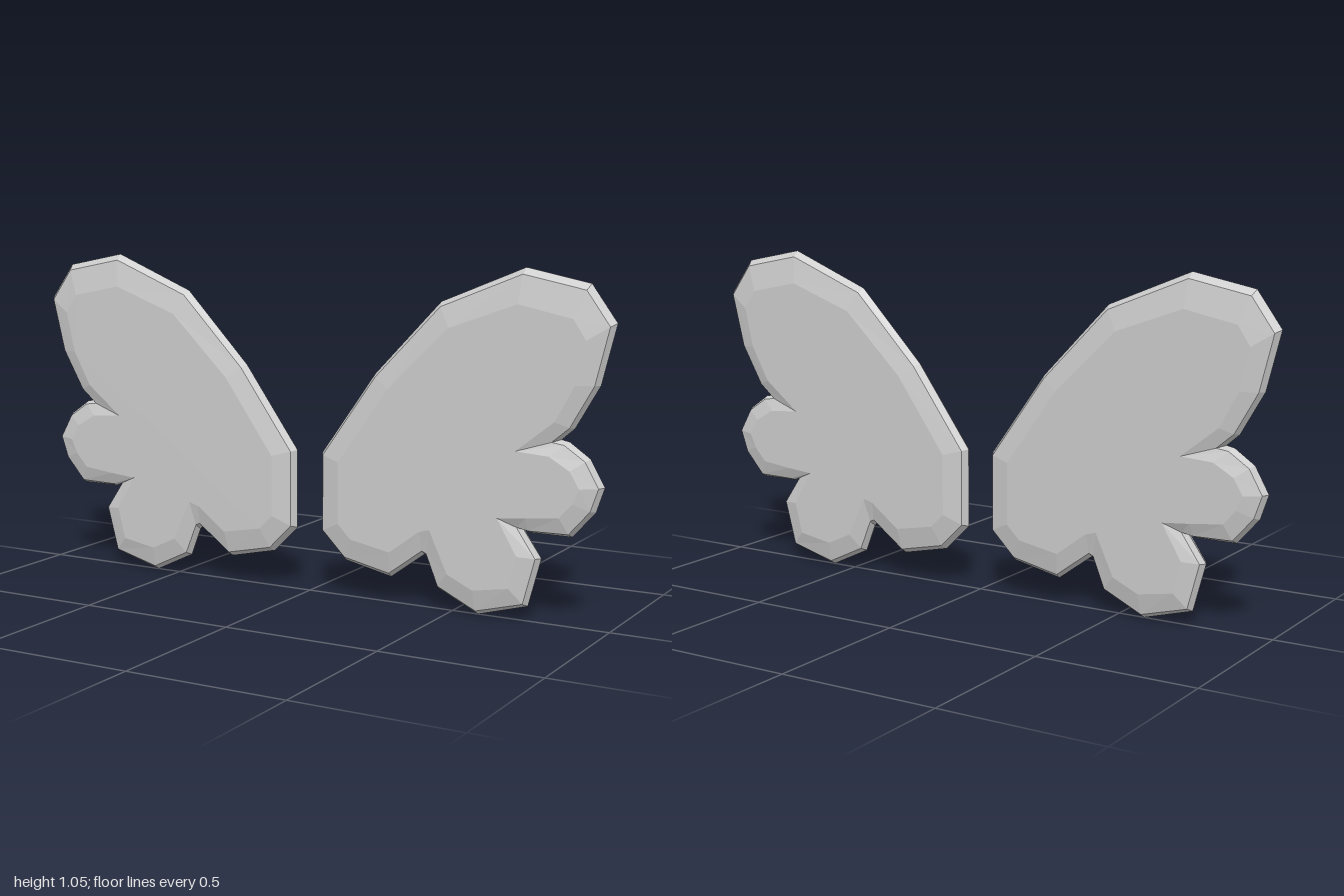
import * as THREE from 'three';

// Outline of one wing, clockwise: rim x, rim y, face x, face y
const OUTLINE = [
  // upper lobe
  [0.045, 0.45, 0.12, 0.43], [0.23, 0.71, 0.29, 0.67], [0.45, 0.94, 0.49, 0.865],
  [0.72, 1.05, 0.71, 0.945], [0.92, 1.01, 0.88, 0.91], [1.0, 0.9, 0.92, 0.85],
  [0.955, 0.72, 0.89, 0.72], [0.88, 0.59, 0.83, 0.61], [0.84, 0.555, 0.71, 0.515],
  // middle lobe
  [0.865, 0.55, 0.815, 0.508], [0.93, 0.505, 0.88, 0.47], [0.975, 0.425, 0.91, 0.42],
  [0.95, 0.35, 0.89, 0.375], [0.88, 0.27, 0.85, 0.33], [0.75, 0.27, 0.745, 0.318],
  [0.725, 0.28, 0.655, 0.31],
  // lower lobe
  [0.785, 0.195, 0.72, 0.2], [0.745, 0.045, 0.695, 0.1], [0.585, 0, 0.58, 0.08],
  [0.45, 0.065, 0.495, 0.12], [0.415, 0.155, 0.435, 0.25],
  // inner lobe
  [0.405, 0.165, 0.4, 0.24], [0.29, 0.08, 0.3, 0.165], [0.13, 0.115, 0.165, 0.19],
  [0.045, 0.2, 0.12, 0.235],
];

// Cross-section of the rim: z, and how far the ring moves from rim to face
const RINGS = [[-0.037, 1], [-0.022, 0.18], [0, 0], [0.022, 0.18], [0.037, 1]];

function wingGeometry(side) {
  // Both wings run counter-clockwise seen from the front
  const outline = side > 0 ? [...OUTLINE].reverse() : OUTLINE;
  const n = outline.length;
  const positions = [];
  const index = [];

  for (const [z, t] of RINGS) {
    for (const [ox, oy, ix, iy] of outline) {
      positions.push(side * (ox + (ix - ox) * t), oy + (iy - oy) * t, z);
    }
  }

  // Bevelled rim
  for (let r = 0; r < RINGS.length - 1; r++) {
    for (let j = 0; j < n; j++) {
      const k = (j + 1) % n;
      const a = r * n + j, b = r * n + k, c = a + n, d = b + n;
      index.push(a, b, d, a, d, c);
    }
  }

  // Flat front and back faces
  const face = outline.map(([, , x, y]) => new THREE.Vector2(side * x, y));
  const top = (RINGS.length - 1) * n;
  for (const tri of THREE.ShapeUtils.triangulateShape(face, [])) {
    const [a, b, c] = THREE.ShapeUtils.area(tri.map((i) => face[i])) > 0 ? tri : [...tri].reverse();
    index.push(top + a, top + b, top + c, c, b, a);
  }

  const geometry = new THREE.BufferGeometry();
  geometry.setAttribute('position', new THREE.Float32BufferAttribute(positions, 3));
  geometry.setIndex(index);
  const flat = geometry.toNonIndexed();
  flat.computeVertexNormals();
  return flat;
}

export function createModel() {
  const model = new THREE.Group();
  model.name = 'butterflyWings';
  const material = new THREE.MeshStandardMaterial({ color: 0xcccccc, flatShading: true });
  for (const [name, side] of [['leftWing', 1], ['rightWing', -1]]) {
    const wing = new THREE.Mesh(wingGeometry(side), material);
    wing.name = name;
    model.add(wing);
  }
  return model;
}
